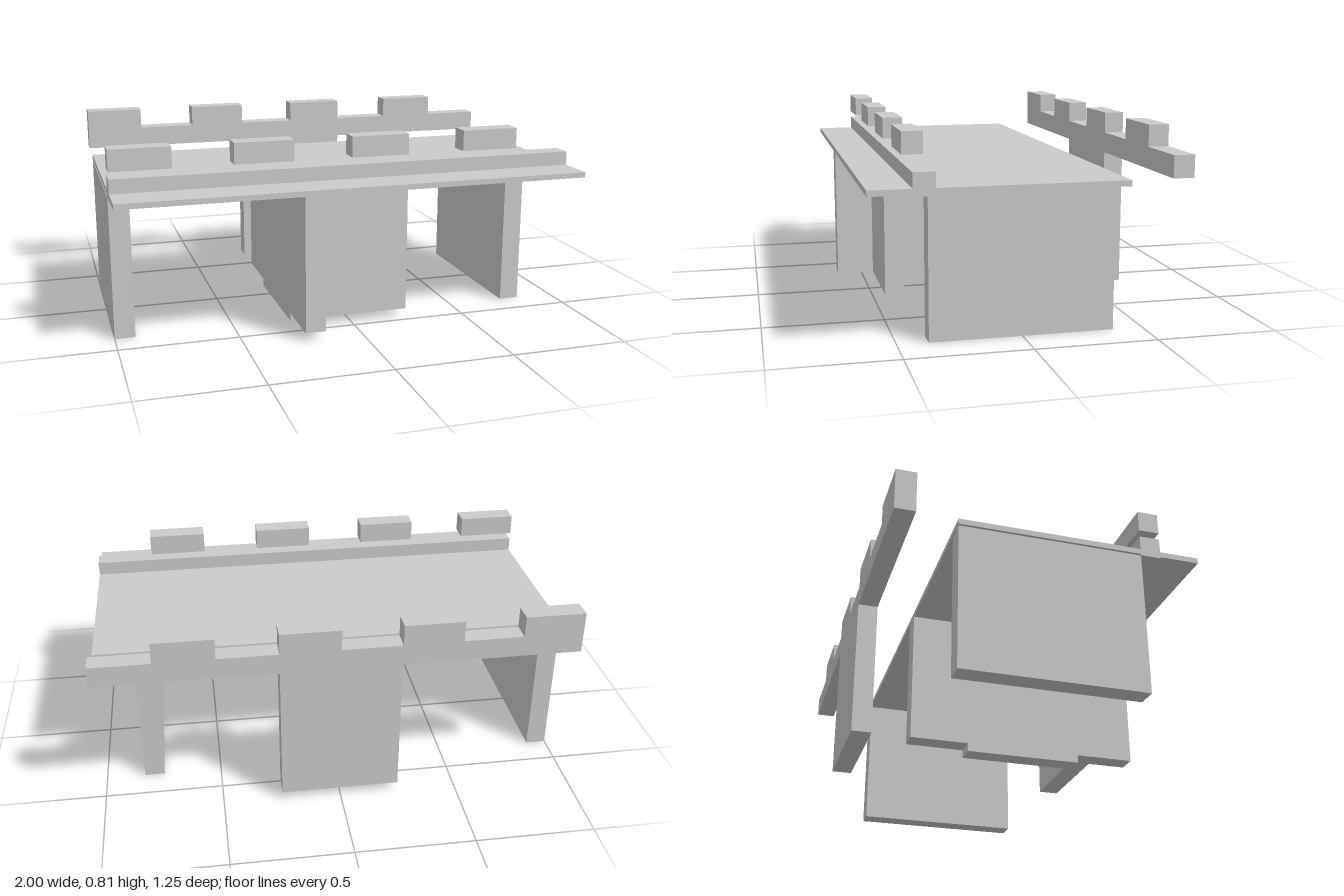
import * as THREE from 'three';

const material = new THREE.MeshStandardMaterial({ color: 0xcccccc, flatShading: true });

// Box given by its extents along each axis
function block(parent, name, [x0, x1], [y0, y1], [z0, z1]) {
  const mesh = new THREE.Mesh(new THREE.BoxGeometry(x1 - x0, y1 - y0, z1 - z0), material);
  mesh.position.set((x0 + x1) / 2, (y0 + y1) / 2, (z0 + z1) / 2);
  mesh.name = name;
  parent.add(mesh);
}

export function createModel() {
  const model = new THREE.Group();
  model.name = 'battlementWalkway';

  const T = 0.085; // wall thickness
  const full = [-1, 1];
  const frontZ = [0.375, 0.46];
  const backZ = [-0.625, -0.54];
  const middleX = [-0.25, -0.25 + T];

  // Walkway deck
  block(model, 'deck', full, [0.61, 0.633], [-0.375, 0.625]);

  // Outer cross walls
  for (const x of [-1, 0.75]) {
    block(model, 'outerWall', [x, x + T], [0, 0.602], [-0.375, 0.375]);
  }

  // Middle cross wall, in three lengths
  block(model, 'middleWall', middleX, [0, 0.602], [-0.125, 0.375]);
  block(model, 'middleWallRear', middleX, [0.035, 0.61], [-0.375, -0.125]);
  block(model, 'middleWallFront', middleX, [0.035, 0.61], [0.46, 0.625]);

  // Front panel and low rail
  block(model, 'frontPanel', [-0.25, 0.25], [0.035, 0.604], frontZ);
  block(model, 'frontRail', full, [0.604, 0.693], frontZ);

  // Detached back parapet with its supporting panel
  block(model, 'backPanel', [-0.25, 0.25], [0.035, 0.633], backZ);
  block(model, 'backRail', full, [0.633, 0.722], backZ);

  // Merlons, spaced evenly along both sides
  for (let i = 0; i < 4; i++) {
    const x = [-1 + i * 0.5, -0.75 + i * 0.5];
    block(model, 'frontMerlon', x, [0.722, 0.811], frontZ);
    block(model, 'backMerlon', x, [0.722, 0.811], backZ);
  }

  return model;
}
